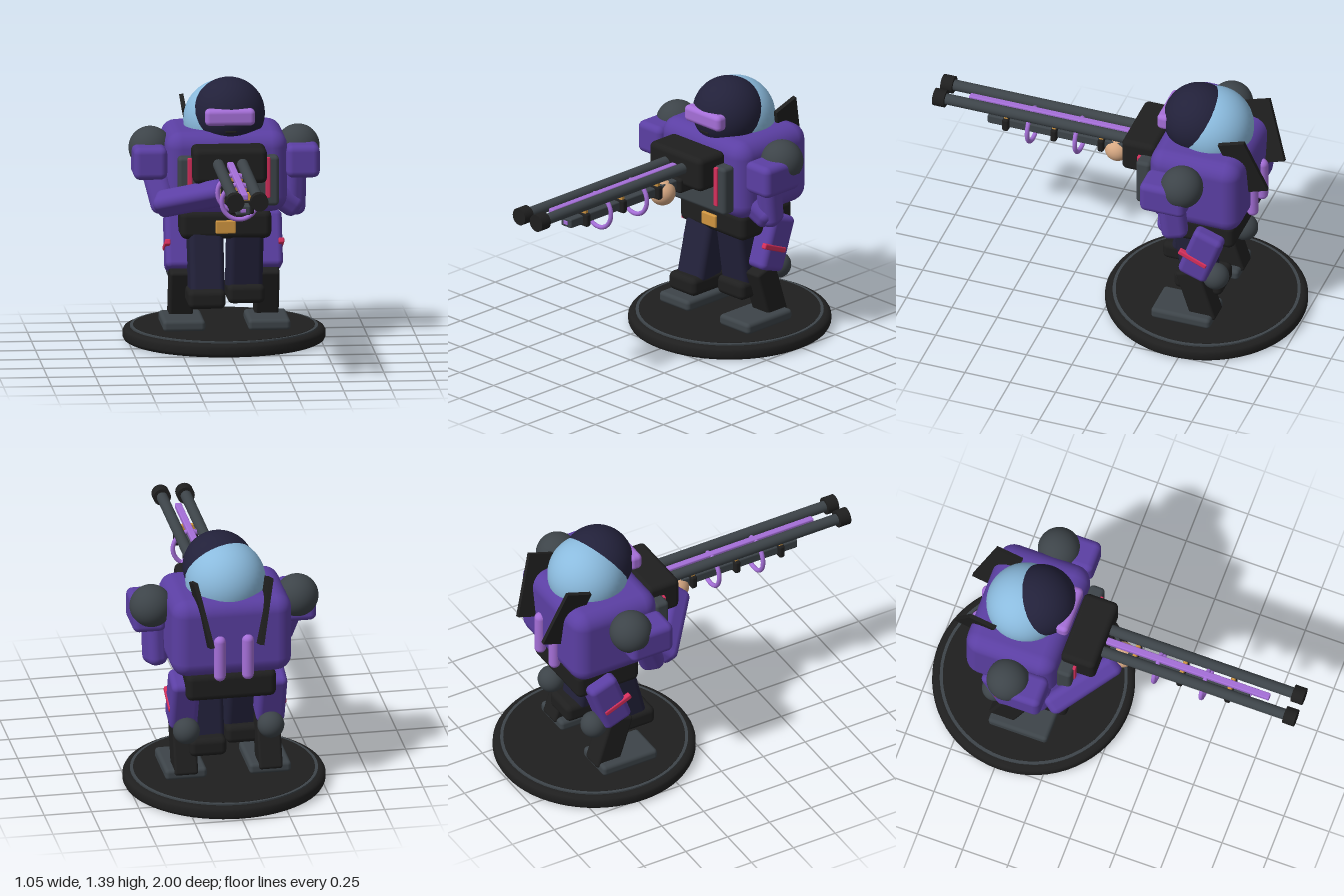
import * as THREE from 'three';
import { RoundedBoxGeometry } from 'three/addons/geometries/RoundedBoxGeometry.js';

const mat = (name, color) => Object.assign(new THREE.MeshStandardMaterial({ color }), { name });

export function createModel() {
  const model = new THREE.Group();
  model.name = 'gunner';
  const purple = mat('armourPurple', 0x5b3fa3), navy = mat('navy', 0x22213a), black = mat('black', 0x1f1f1f);
  const grey = mat('gunmetal', 0x3d4449), lilac = mat('lilac', 0xa56fd8), red = mat('crimson', 0xd62f5c);
  const gold = mat('gold', 0xcf9540), skin = mat('skin', 0xd8a983), blue = mat('paleBlue', 0x8bbbde);

  const add = (name, geo, m, x, y, z) => {
    const mesh = new THREE.Mesh(geo, m);
    mesh.name = name;
    mesh.position.set(x, y, z);
    model.add(mesh);
    return mesh;
  };
  const box = (name, m, size, pos, r = 0.02) =>
    add(name, new RoundedBoxGeometry(...size, 3, Math.min(r, Math.min(...size) * 0.49)), m, ...pos);
  const ball = (name, m, r, pos) => add(name, new THREE.SphereGeometry(r, 40, 28), m, ...pos);
  // cylinder along z between two z values
  const rod = (name, m, r, x, y, z0, z1) => {
    const c = add(name, new THREE.CylinderGeometry(r, r, z1 - z0, 28), m, x, y, (z0 + z1) / 2);
    c.rotation.x = Math.PI / 2;
    return c;
  };
  // rounded limb between two points
  const limb = (name, m, a, b, w, d, r = 0.03) => {
    const p = new THREE.Vector3(...a), q = new THREE.Vector3(...b);
    const dir = q.clone().sub(p);
    const mesh = box(name, m, [w, dir.length(), d], p.clone().add(q).multiplyScalar(0.5).toArray(), r);
    mesh.quaternion.setFromUnitVectors(new THREE.Vector3(0, 1, 0), dir.normalize());
    return mesh;
  };

  // Round base with an inlaid ring
  const rim = [[0, 0], [0.505, 0], [0.52, 0.008], [0.527, 0.022], [0.527, 0.05], [0.52, 0.063], [0.505, 0.07], [0.49, 0.071], [0, 0.071]];
  add('base', new THREE.LatheGeometry(rim.map(p => new THREE.Vector2(...p)), 64), black, 0, 0, -0.475);
  add('baseRing', new THREE.CylinderGeometry(0.488, 0.488, 0.01, 64), grey, 0, 0.074, -0.475);
  add('baseTop', new THREE.CylinderGeometry(0.472, 0.472, 0.01, 64), black, 0, 0.076, -0.475);

  for (const s of [-1, 1]) {
    // Outer walker legs
    box('walkerFoot', grey, [0.22, 0.06, 0.325], [s * 0.222, 0.107, -0.445], 0.02);
    limb('walkerShin', black, [s * 0.223, 0.09, -0.56], [s * 0.223, 0.385, -0.465], 0.125, 0.135, 0.015);
    ball('kneeBall', grey, 0.07, [s * 0.223, 0.355, -0.605]);
    box('walkerThigh', purple, [0.15, 0.3, 0.165], [s * 0.23, 0.51, -0.54], 0.03).rotation.x = -0.34;
    box('thighStripe', red, [0.03, 0.03, 0.165], [s * 0.296, 0.497, -0.505], 0.008).rotation.x = -0.4;

    // Pilot legs in mid stride
    const step = s < 0 ? 0.085 : -0.055;
    limb('pilotLeg', navy, [s * 0.105, 0.6, -0.43], [s * 0.103, 0.25, -0.43 + step], 0.18, 0.17, 0.03);
    box('pilotBoot', black, [0.195, 0.1, 0.265], [s * 0.108, 0.255, -0.44 + step], 0.03);

    // Shoulders and upper arms
    ball('shoulderBall', grey, 0.112, [s * 0.385, 1.02, -0.475]);
    box('shoulderPad', purple, [0.175, 0.172, 0.25], [s * 0.397, 0.967, -0.395], 0.035);

    // Back fins and exhausts
    const fin = add('backFin', new THREE.BoxGeometry(0.022, 0.35, 0.15), black, s * 0.165, 1.06, -0.735);
    fin.rotation.set(0.32, 0, -s * 0.2);
    add('exhaust', new THREE.CapsuleGeometry(0.031, 0.19, 6, 20), lilac, s * 0.074, 0.815, -0.755);

    // Chest stripes
    box('chestStripe', red, [0.025, 0.215, 0.03], [s * 0.203, 0.908, -0.182], 0.005);
  }

  // Torso, belt and chest plate
  box('torso', purple, [0.635, 0.43, 0.5], [0, 0.915, -0.505], 0.085);
  box('belt', black, [0.475, 0.15, 0.37], [0, 0.628, -0.52], 0.035);
  box('buckle', gold, [0.105, 0.07, 0.03], [-0.003, 0.62, -0.335], 0.008);
  box('chestPlate', grey, [0.525, 0.262, 0.08], [0, 0.888, -0.215], 0.02);

  // Arms: one steadies the weapon, the other is tucked in
  limb('rightUpperArm', purple, [-0.37, 0.95, -0.4], [-0.31, 0.71, -0.3], 0.13, 0.14, 0.045);
  limb('rightForearm', purple, [-0.36, 0.755, -0.27], [-0.035, 0.87, 0.0], 0.125, 0.125, 0.04);
  limb('leftUpperArm', purple, [0.36, 0.95, -0.4], [0.355, 0.67, -0.43], 0.11, 0.14, 0.045);
  limb('leftForearm', purple, [0.38, 0.7, -0.41], [0.2, 0.83, -0.36], 0.12, 0.13, 0.045);
  ball('hand', skin, 0.068, [0, 0.872, 0.015]);

  // Head: pale shell behind, dark mask turned slightly in front
  ball('helmetShell', blue, 0.209, [0, 1.155, -0.515]);
  ball('helmetMask', navy, 0.187, [0.023, 1.203, -0.443]);
  box('visor', lilac, [0.26, 0.088, 0.07], [0.015, 1.21, -0.283], 0.025);
  box('mouthSlot', black, [0.06, 0.014, 0.02], [0.02, 1.133, -0.277], 0.005);

  // Weapon body and twin barrels
  box('gunBody', black, [0.385, 0.185, 0.19], [0, 0.987, -0.165], 0.03);
  box('gunGrip', black, [0.13, 0.08, 0.16], [0, 0.9, -0.13], 0.015);
  for (const s of [-1, 1]) {
    rod('barrel', grey, 0.029, s * 0.063, 1.0, -0.1, 0.97);
    rod('muzzle', black, 0.046, s * 0.063, 1.0, 0.937, 1.0);
  }
  box('energyStrip', lilac, [0.035, 0.03, 0.95], [0, 0.997, 0.355], 0.006);

  // Lower rail with clamps, brackets and coils
  box('lowerRail', grey, [0.076, 0.05, 0.86], [0, 0.906, 0.29], 0.008);
  box('railTip', lilac, [0.03, 0.02, 0.01], [0, 0.906, 0.72], 0.002);
  for (const z of [0.09, 0.35, 0.615]) {
    box('railClamp', black, [0.13, 0.074, 0.034], [0, 0.906, z], 0.012);
    box('railBracket', gold, [0.1, 0.045, 0.022], [0, 0.96, z], 0.005);
  }
  for (const z of [0.22, 0.482])
    add('coil', new THREE.TorusGeometry(0.092, 0.012, 12, 48), lilac, 0, 0.907, z);

  return model;
}
